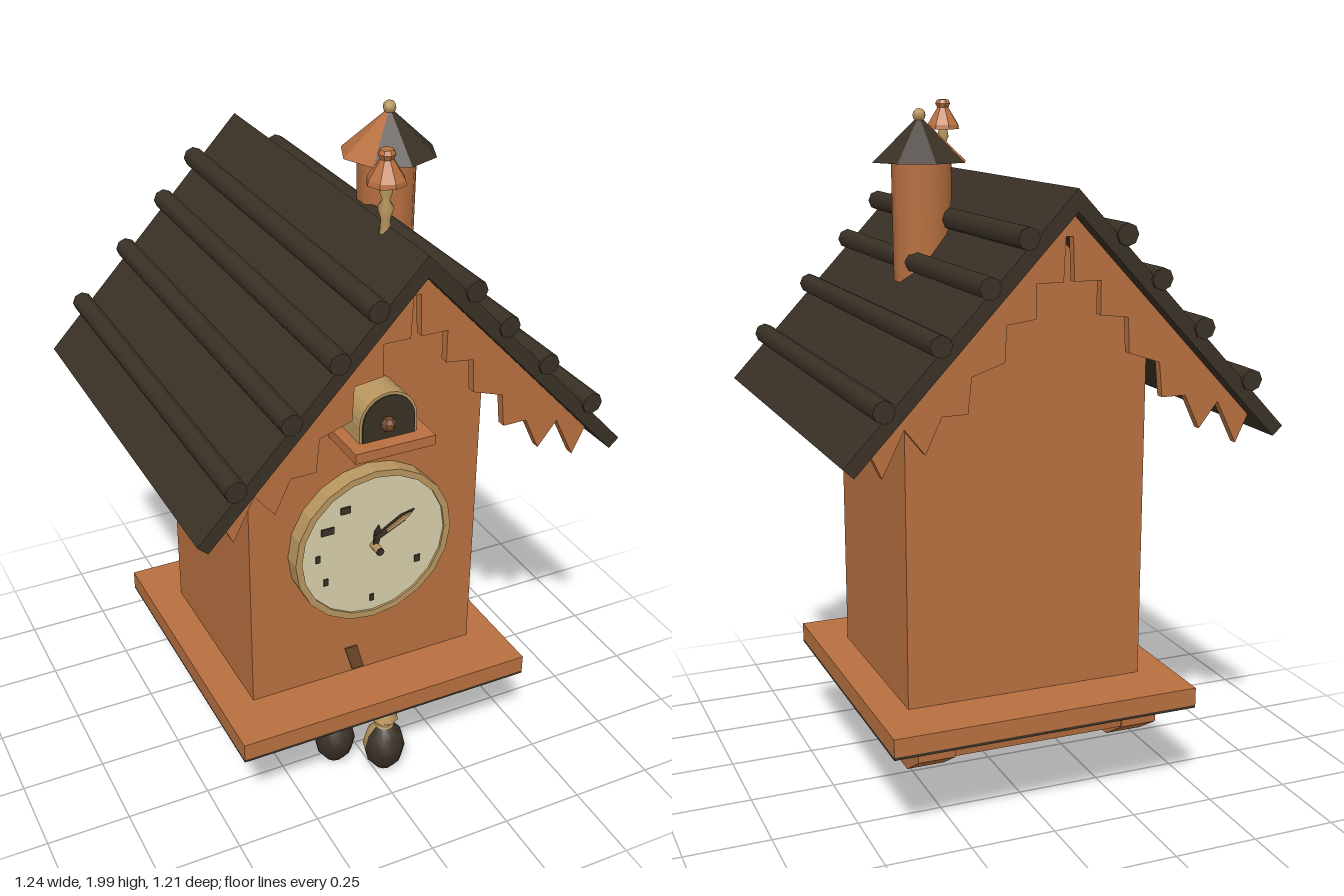
import * as THREE from 'three';

const mat = (name, color, side = THREE.FrontSide) => {
  const m = new THREE.MeshStandardMaterial({ color, side });
  m.name = name;
  return m;
};

export function createModel() {
  const model = new THREE.Group();
  model.name = 'cuckooClock';

  const wood = mat('warm wood', 0xb87040);
  const dark = mat('dark bark', 0x3a3126);
  const tan = mat('pale wood', 0xb8965f);
  const cream = mat('cream dial', 0xd8cfaa);
  const stain = mat('brown stain', 0x70482a);

  const add = (name, geo, material, x = 0, y = 0, z = 0, parent = model) => {
    const mesh = new THREE.Mesh(geo, material);
    mesh.name = name;
    mesh.position.set(x, y, z);
    parent.add(mesh);
    return mesh;
  };
  const box = (name, w, h, d, m, x, y, z) => add(name, new THREE.BoxGeometry(w, h, d), m, x, y, z);
  const vec = (pts) => pts.map(([x, y]) => new THREE.Vector2(x, y));
  // Extrusion centred on its depth
  const slab = (shape, depth, curveSegments = 8) => {
    const s = shape instanceof THREE.Shape ? shape : new THREE.Shape(vec(shape));
    return new THREE.ExtrudeGeometry(s, { depth, bevelEnabled: false, curveSegments })
      .translate(0, 0, -depth / 2);
  };
  // Profile given as (z, y), extruded along x
  const sideSlab = (pts, width) => slab(pts, width).rotateY(-Math.PI / 2);
  const lathe = (pts, seg, start = 0, len = Math.PI * 2) =>
    new THREE.LatheGeometry(vec(pts), seg, start, len);
  const faceted = (geo) => {
    const g = geo.toNonIndexed();
    g.computeVertexNormals();
    return g;
  };
  const mirrorPts = (half) => [...half, ...half.slice().reverse().map(([x, y]) => [-x, y])];

  // House body with gable
  add('body', slab([[-0.362, 0.34], [0.358, 0.34], [0.358, 1.39], [0, 1.765], [-0.362, 1.39]], 0.59), wood, 0, 0, 0.005);
  add('bodyStain', slab([[-0.065, 0.44], [-0.025, 0.44], [-0.002, 0.355], [-0.04, 0.355]], 0.004), stain, 0, 0, 0.302);

  // Base plate with dark underside, and feet
  box('basePlate', 0.92, 0.053, 0.93, wood, -0.003, 0.3235, 0.005);
  box('basePlateUnderside', 0.92, 0.008, 0.93, dark, -0.003, 0.293, 0.005);
  add('plinth', sideSlab([[-0.4, 0.29], [-0.39, 0.235], [-0.33, 0.212], [0.33, 0.212], [0.39, 0.235], [0.4, 0.29]], 0.6), wood);
  for (const sx of [-1, 1]) {
    for (const sz of [-1, 1]) {
      const foot = [[0.4, 0.29], [0.395, 0.235], [0.3, 0.175], [0.16, 0.172], [0.09, 0.21], [0.07, 0.29]]
        .map(([z, y]) => [z * sz, y]);
      add('foot', sideSlab(foot, 0.11), wood, sx * 0.312);
    }
  }

  // Pitched roof and its battens
  add('roof', slab([[0, 1.803], [-0.62, 1.148], [-0.592, 1.122], [0, 1.745], [0.592, 1.122], [0.62, 1.148]], 1.195), dark);
  for (const side of [-1, 1]) {
    for (const [x, y] of [[0.135, 1.685], [0.237, 1.568], [0.366, 1.433], [0.515, 1.283]]) {
      const batten = add('roofBatten', new THREE.CylinderGeometry(0.03, 0.03, 1.21, 8), dark, side * x, y, 0);
      batten.rotation.x = Math.PI / 2;
    }
  }

  // Toothed bargeboards under both gables
  const teeth = [[0.01, 1.68], [0.015, 1.565], [0.09, 1.565], [0.09, 1.475], [0.17, 1.465], [0.175, 1.37],
    [0.265, 1.34], [0.275, 1.245], [0.345, 1.245], [0.39, 1.15], [0.445, 1.22], [0.505, 1.1], [0.545, 1.185],
    [0.001, 1.757]];
  for (const z of [-0.535, 0.535]) add('bargeboard', slab(mirrorPts(teeth), 0.025), wood, 0, 0, z);

  // Clock: case, rim, dial, marks and hands
  const clock = new THREE.Group();
  clock.name = 'clock';
  clock.position.set(0, 0.822, 0.3);
  model.add(clock);
  const disc = (name, r, depth, m, z) => {
    add(name, new THREE.CylinderGeometry(r, r, depth, 20).rotateX(Math.PI / 2), m, 0, 0, z, clock);
  };
  disc('clockCase', 0.24, 0.04, tan, 0.02);
  disc('clockDial', 0.228, 0.008, cream, 0.042);
  const rim = new THREE.Shape().absarc(0, 0, 0.246, 0, Math.PI * 2);
  rim.holes.push(new THREE.Path().absarc(0, 0, 0.226, 0, Math.PI * 2, true));
  add('clockRim', slab(rim, 0.052, 10), tan, 0, 0, 0.027, clock);
  for (const [x, y, w] of [[-0.09, 0.14, 0.03], [-0.145, 0.085, 0.04], [-0.175, 0, 0.014], [-0.15, -0.085, 0.014],
    [-0.003, -0.182, 0.012], [0.143, -0.088, 0.018]]) {
    add('hourMark', new THREE.BoxGeometry(w, 0.022, 0.004), dark, x, y, 0.048, clock);
  }
  const hand = (name, m, x0, y0, x1, y1, w, z) => {
    const len = Math.hypot(x1 - x0, y1 - y0);
    const h = add(name, slab([[0, -w / 3], [len * 0.7, -w / 2], [len, 0], [len * 0.7, w / 2], [0, w / 3]], 0.006),
      m, x0, y0, z, clock);
    h.rotation.z = Math.atan2(y1 - y0, x1 - x0);
  };
  hand('hourHand', dark, 0, 0, 0.01, 0.07, 0.022, 0.058);
  hand('minuteHandOutline', dark, -0.005, 0.03, 0.12, 0.098, 0.026, 0.062);
  hand('minuteHand', tan, 0.03, 0.05, 0.11, 0.092, 0.014, 0.067);
  add('handPivot', new THREE.CylinderGeometry(0.012, 0.012, 0.04, 8).rotateX(Math.PI / 2), tan, 0, 0, 0.065, clock);
  add('handPivotCap', new THREE.CylinderGeometry(0.012, 0.012, 0.005, 8).rotateX(Math.PI / 2), dark, 0, 0, 0.0875, clock);

  // Arched cuckoo doorway with bird and ledge
  const arch = (r, bottom) => {
    const s = new THREE.Shape();
    s.moveTo(-r, bottom);
    s.lineTo(r, bottom);
    s.absarc(0, 1.26, r, 0, Math.PI);
    s.closePath();
    return s;
  };
  add('doorFrame', slab(arch(0.086, 1.2), 0.12, 6), tan, 0, 0, 0.355);
  add('doorway', slab(arch(0.078, 1.208), 0.006, 6), dark, 0, 0, 0.417);
  add('bird', faceted(new THREE.SphereGeometry(0.022, 7, 5)), stain, -0.004, 1.255, 0.422);
  box('doorLedge', 0.24, 0.03, 0.165, wood, 0, 1.196, 0.38);

  // Chimney with a two-tone conical cap
  add('chimney', new THREE.CylinderGeometry(0.084, 0.08, 0.36, 10), wood, 0.2, 1.68, 0);
  const cap = (name, m, seg, start, len) =>
    add(name, faceted(new THREE.ConeGeometry(0.137, 0.125, seg, 1, false, start, len)), m, 0.205, 1.902, 0);
  cap('chimneyCap', dark, 6, Math.PI * 1.75, Math.PI * 1.5);
  cap('chimneyCapPatch', wood, 2, Math.PI * 1.25, Math.PI * 0.5);
  add('chimneyKnob', new THREE.SphereGeometry(0.019, 8, 6), tan, 0.205, 1.965, 0);

  // Turned ridge finial
  add('finialStem', lathe([[0.016, 1.78], [0.013, 1.82], [0.022, 1.85], [0.01, 1.87], [0.018, 1.89], [0.012, 1.92]], 8),
    tan, -0.006, 0, 0.383);
  add('finialCap', faceted(lathe([[0, 1.912], [0.052, 1.912], [0.05, 1.925], [0.018, 1.975], [0.024, 1.988],
    [0.018, 1.999], [0, 2]], 8)), wood, -0.006, 0, 0.383);

  // Hanging cone weights, dark in front and pale behind
  const cone = [[0, 0.008], [0.03, 0.018], [0.054, 0.05], [0.064, 0.095], [0.054, 0.14], [0.028, 0.172]];
  const crown = [[0.028, 0.17], [0.02, 0.178], [0.042, 0.2], [0.012, 0.206], [0, 0.206]];
  for (const [x, z] of [[-0.088, 0.28], [0.034, 0.377]]) {
    add('weightFront', lathe(cone, 6, -Math.PI / 2, Math.PI), dark, x, 0, z);
    add('weightBack', lathe(cone, 6, Math.PI / 2, Math.PI), tan, x, 0, z);
    add('weightCrown', lathe(crown, 8), tan, x, 0, z);
    add('weightChain', new THREE.CylinderGeometry(0.005, 0.005, 0.1, 5), tan, x, 0.25, z);
  }
  return model;
}
